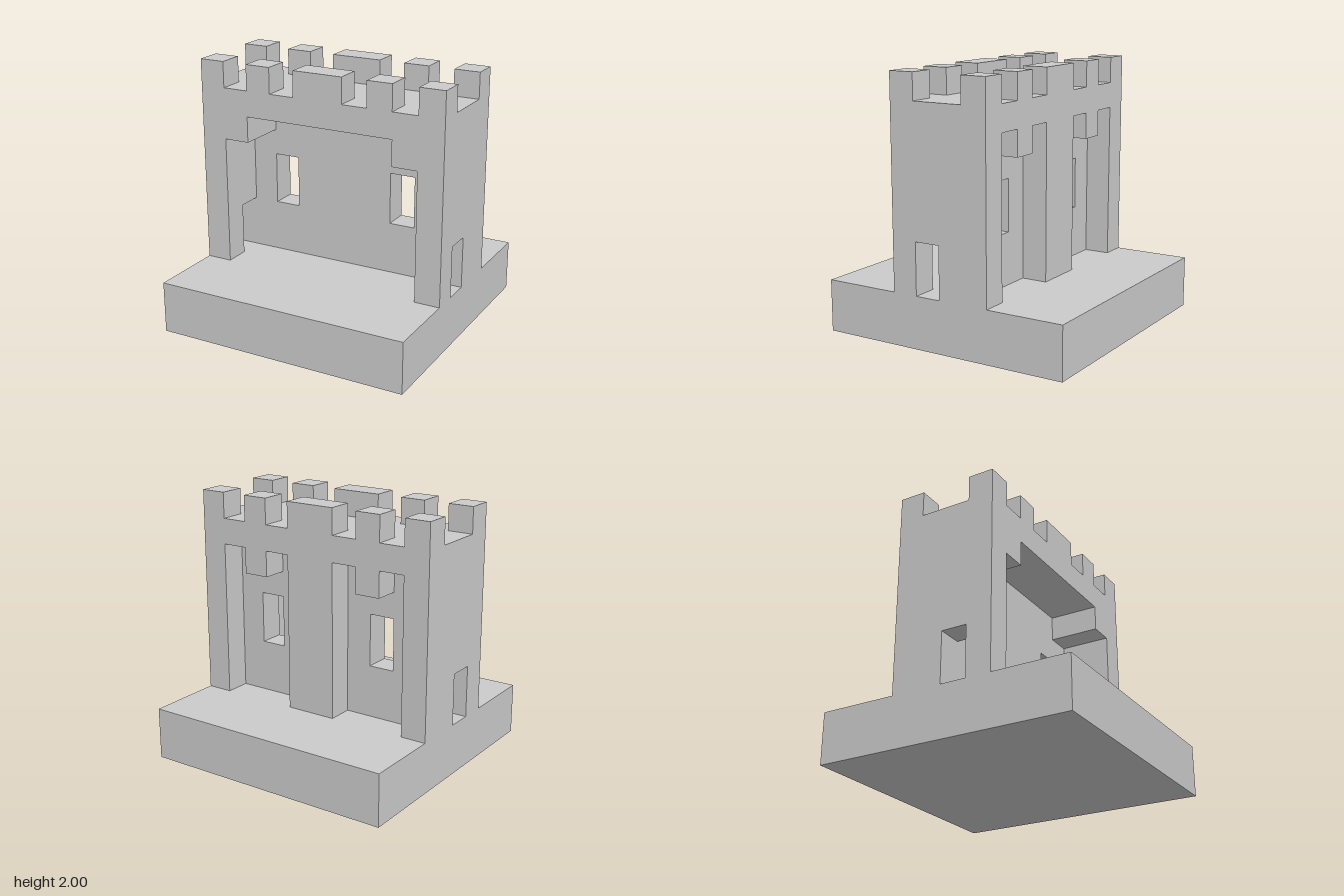
import * as THREE from 'three';

const material = new THREE.MeshStandardMaterial({ color: 0xcccccc, flatShading: true });
const BASE = 0.4, ROOF = 1.8, TOP = 2;

// Mirror a half outline (x >= 0, running from right to centre) across x = 0
const mirrored = (half) => [...half, ...half.slice().reverse().map(([x, y]) => [-x, y])];
const toPoints = (list) => list.map(([x, y]) => new THREE.Vector2(x, y));

// Upright layer of wall between two z planes
function layer(name, outline, zBack, zFront, holes = []) {
  const shape = new THREE.Shape(toPoints(outline));
  for (const hole of holes) shape.holes.push(new THREE.Path(toPoints(hole)));
  const geometry = new THREE.ExtrudeGeometry(shape, { depth: zFront - zBack, bevelEnabled: false });
  const mesh = new THREE.Mesh(geometry, material);
  mesh.name = name;
  mesh.position.z = zBack;
  return mesh;
}

const rect = (x0, x1, y0, y1) => [[x0, y0], [x1, y0], [x1, y1], [x0, y1]];

// Right half of the top edge, with battlements
const battlements = [
  [1, TOP], [0.8, TOP], [0.8, ROOF], [0.6, ROOF], [0.6, TOP],
  [0.4, TOP], [0.4, ROOF], [0.2, ROOF], [0.2, TOP],
];

// Right half of the stepped gateway, from the centre out to the jamb
const gateway = (foot) => [[0.6, 1.6], [0.6, 1.4], [0.8, 1.4], [0.8, foot], [1, foot]];

export function createModel() {
  const model = new THREE.Group();
  model.name = 'castleGatehouse';

  const base = new THREE.Mesh(new THREE.BoxGeometry(2, BASE, 2), material);
  base.name = 'base';
  base.position.y = BASE / 2;
  model.add(base);

  // Front wall with the wide gateway
  model.add(layer('frontWall', mirrored([...gateway(BASE), ...battlements]), 0.2, 0.4));

  // Recess behind the gateway; its jambs stop above the side doorways
  model.add(layer('gatewayRecess', mirrored([...gateway(0.8), [1, ROOF]]), 0, 0.2));

  // Inner wall pierced by two windows
  const windows = [rect(0.4, 0.6, 0.8, 1.2), rect(-0.6, -0.4, 0.8, 1.2)];
  model.add(layer('windowWall', rect(-1, 1, BASE, ROOF), -0.2, 0, windows));

  // Back wall: three piers and two bays, each with a hanging block
  const backBay = [
    [0.2, BASE], [0.2, 1.6], [0.4, 1.6], [0.4, 1.4], [0.6, 1.4],
    [0.6, 1.6], [0.8, 1.6], [0.8, BASE], [1, BASE],
  ];
  model.add(layer('backWall', mirrored([...backBay, ...battlements]), -0.4, -0.2));

  return model;
}
